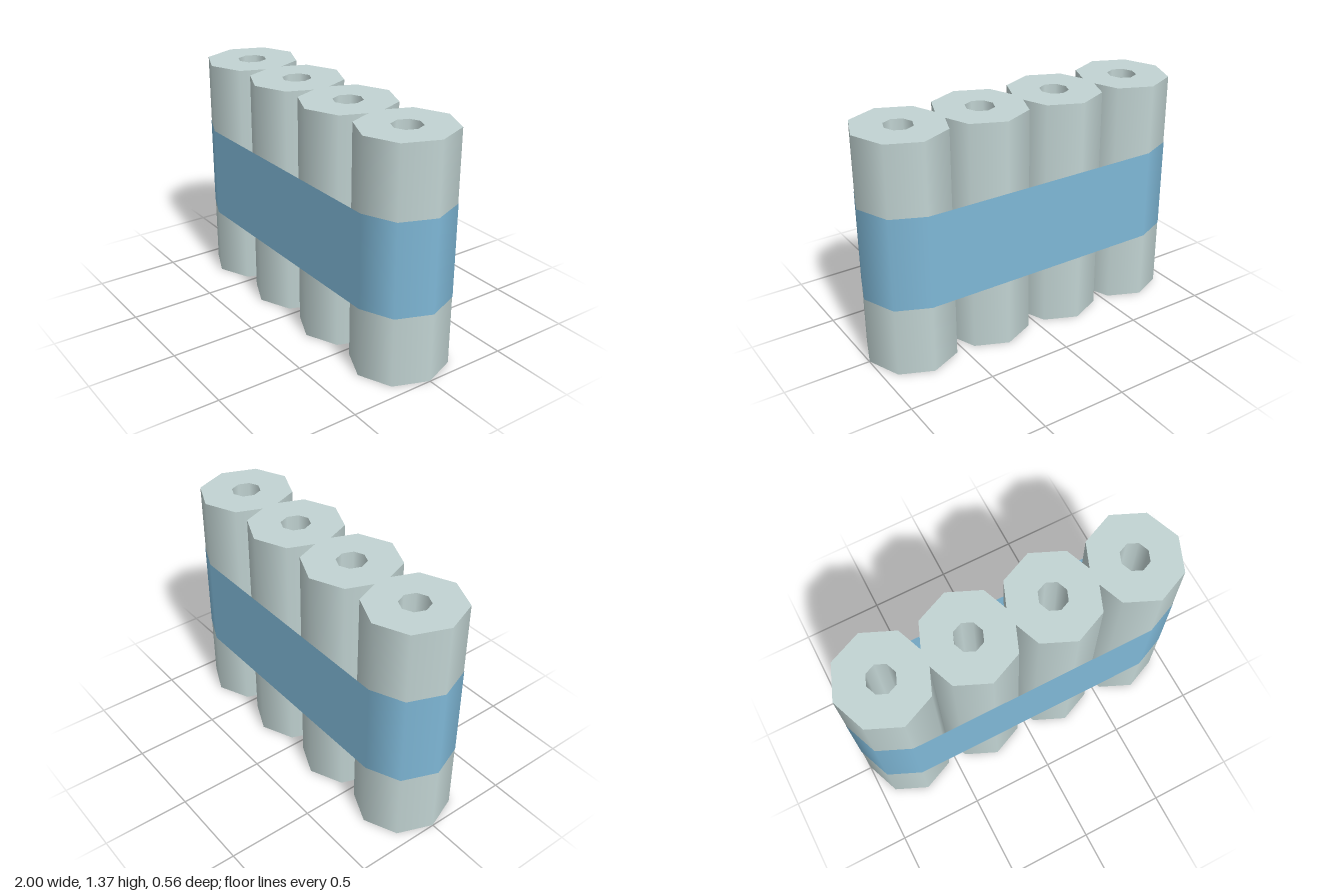
import * as THREE from 'three';
import { mergeGeometries } from 'three/addons/utils/BufferGeometryUtils.js';

const HEIGHT = 1.365, SPACING = 0.489, RX = 0.265, RZ = 0.28, HOLE = 0.31;
const BAND_Y = 0.683, BAND_H = 0.545, SIDES = 8, GAP = 0.002;

// Hollow octagonal tube: each profile edge is turned on its own to keep the rims sharp
function tubeGeometry() {
  const profile = [[1, 0], [1, HEIGHT], [HOLE, HEIGHT], [HOLE, 0]].map(([r, y]) => new THREE.Vector2(r, y));
  const walls = profile.map((p, i) => new THREE.LatheGeometry([p, profile[(i + 1) % 4]], SIDES));
  return mergeGeometries(walls).scale(RX, 1, RZ);
}

// Open strap: a half octagon round each end tube, joined by two flat sides
function bandGeometry() {
  const endX = 1.5 * SPACING, parts = [];
  for (const side of [1, -1]) {
    const edge = [-BAND_H / 2, BAND_H / 2].map((y) => new THREE.Vector2(1, y));
    parts.push(new THREE.LatheGeometry(edge, SIDES / 2, side > 0 ? 0 : Math.PI, Math.PI)
      .scale(RX + GAP, 1, RZ + GAP).translate(side * endX, 0, 0));
    parts.push(new THREE.PlaneGeometry(2 * endX, BAND_H)
      .translate(0, 0, RZ + GAP).rotateY(side > 0 ? 0 : Math.PI));
  }
  return mergeGeometries(parts);
}

export function createModel() {
  const paleGrey = new THREE.MeshStandardMaterial({ color: 0xc2d4d3 });
  paleGrey.name = 'pale grey';
  const blue = new THREE.MeshStandardMaterial({ color: 0x7fb8d7, side: THREE.DoubleSide });
  blue.name = 'blue';

  const model = new THREE.Group();
  model.name = 'tubeBundle';

  // Row of four tubes
  const tube = tubeGeometry();
  for (let i = 0; i < 4; i++) {
    const mesh = new THREE.Mesh(tube, paleGrey);
    mesh.name = `tube${i + 1}`;
    mesh.position.x = (i - 1.5) * SPACING;
    model.add(mesh);
  }

  // Strap round the middle
  const band = new THREE.Mesh(bandGeometry(), blue);
  band.name = 'band';
  band.position.y = BAND_Y;
  model.add(band);
  return model;
}
